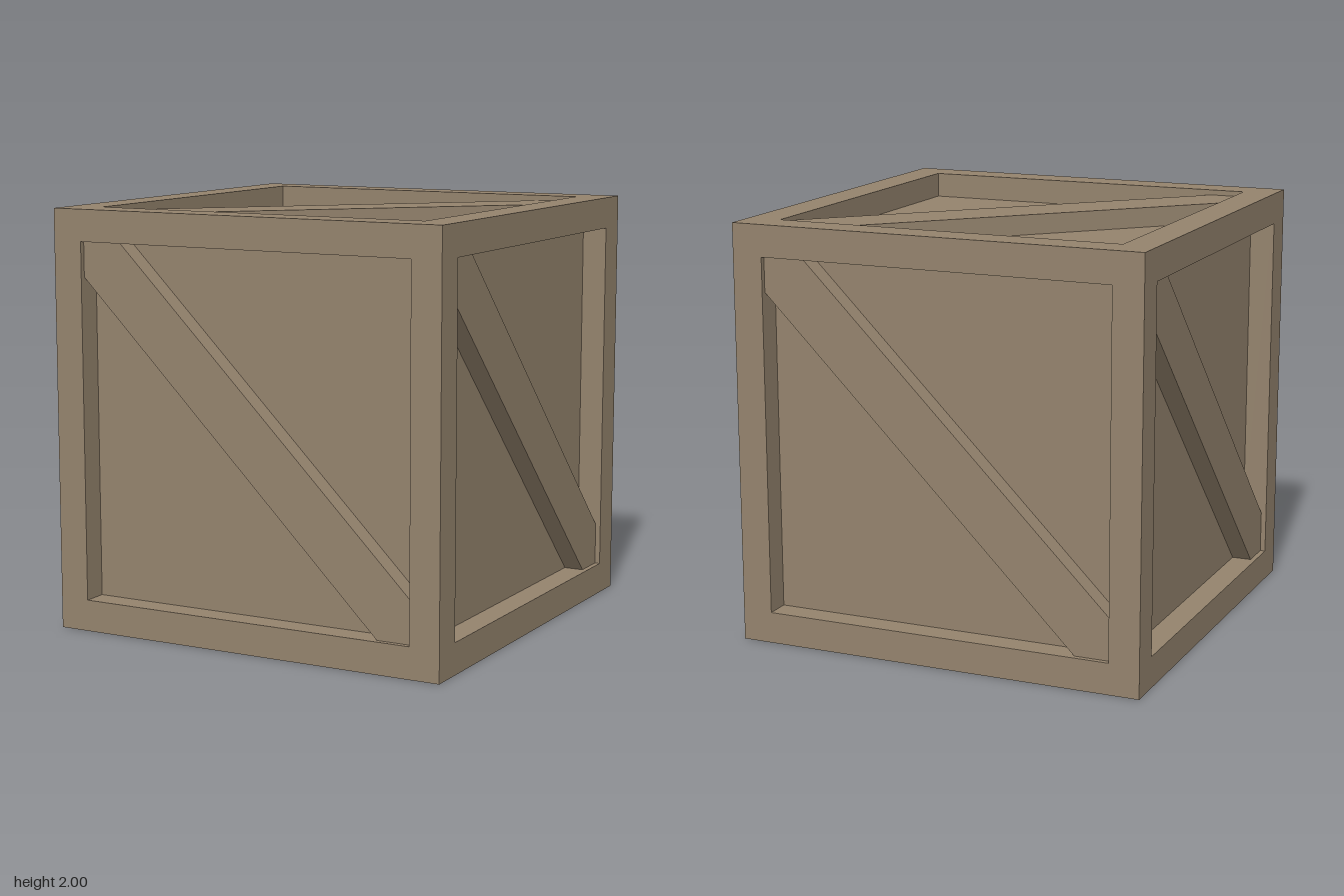
import * as THREE from 'three';

export function createModel() {
  const model = new THREE.Group();
  model.name = 'crate';
  const wood = new THREE.MeshStandardMaterial({ color: 0x94836d });
  wood.name = 'brown wood';

  const addBox = (name, w, h, d, x, y, z) => {
    const mesh = new THREE.Mesh(new THREE.BoxGeometry(w, h, d), wood);
    mesh.name = name;
    mesh.position.set(x, y, z);
    model.add(mesh);
  };

  // Recessed panels: the six faces of one inner body
  addBox('innerPanels', 1.76, 1.76, 1.76, 0, 1, 0);

  // Outer frame: four posts with butted rails at top and bottom
  const postW = 0.147, postD = 0.155, railH = 0.15, railW = 0.16;
  for (const a of [-1, 1]) {
    for (const b of [-1, 1]) {
      addBox('cornerPost', postW, 2, postD, a * (1 - postW / 2), 1, b * (1 - postD / 2));
      const y = 1 + a * (1 - railH / 2);
      addBox('crossRail', 2 - 2 * postW, railH, railW, 0, y, b * (1 - railW / 2));
      addBox('sideRail', railW, railH, 2 - 2 * postD, b * (1 - railW / 2), y, 0);
    }
  }

  // Diagonal brace, its ends cut square to fit into the frame corners
  const a = 0.858, upper = 0.197, lower = 0.17;
  const outline = [
    [-a, a], [-a, a - lower], [a - lower, -a],
    [a, -a], [a, upper - a], [upper - a, a],
  ].map(([x, y]) => new THREE.Vector2(x, y));
  const braceGeometry = new THREE.ExtrudeGeometry(new THREE.Shape(outline), {
    depth: 0.105, bevelEnabled: false,
  });
  braceGeometry.translate(0, 0, 0.87);

  // One brace per face: [name, turn about x, turn about y, turn in the face]
  const q = Math.PI / 2;
  const faces = [
    ['frontBrace', 0, 0, 0], ['leftBrace', 0, q, 0],
    ['backBrace', 0, 2 * q, 0], ['rightBrace', 0, -q, 0],
    ['topBrace', -q, 0, q], ['bottomBrace', q, 0, q],
  ];
  for (const [name, rx, ry, rz] of faces) {
    const brace = new THREE.Mesh(braceGeometry, wood);
    brace.name = name;
    brace.rotation.set(rx, ry, rz);
    brace.position.y = 1;
    model.add(brace);
  }
  return model;
}
